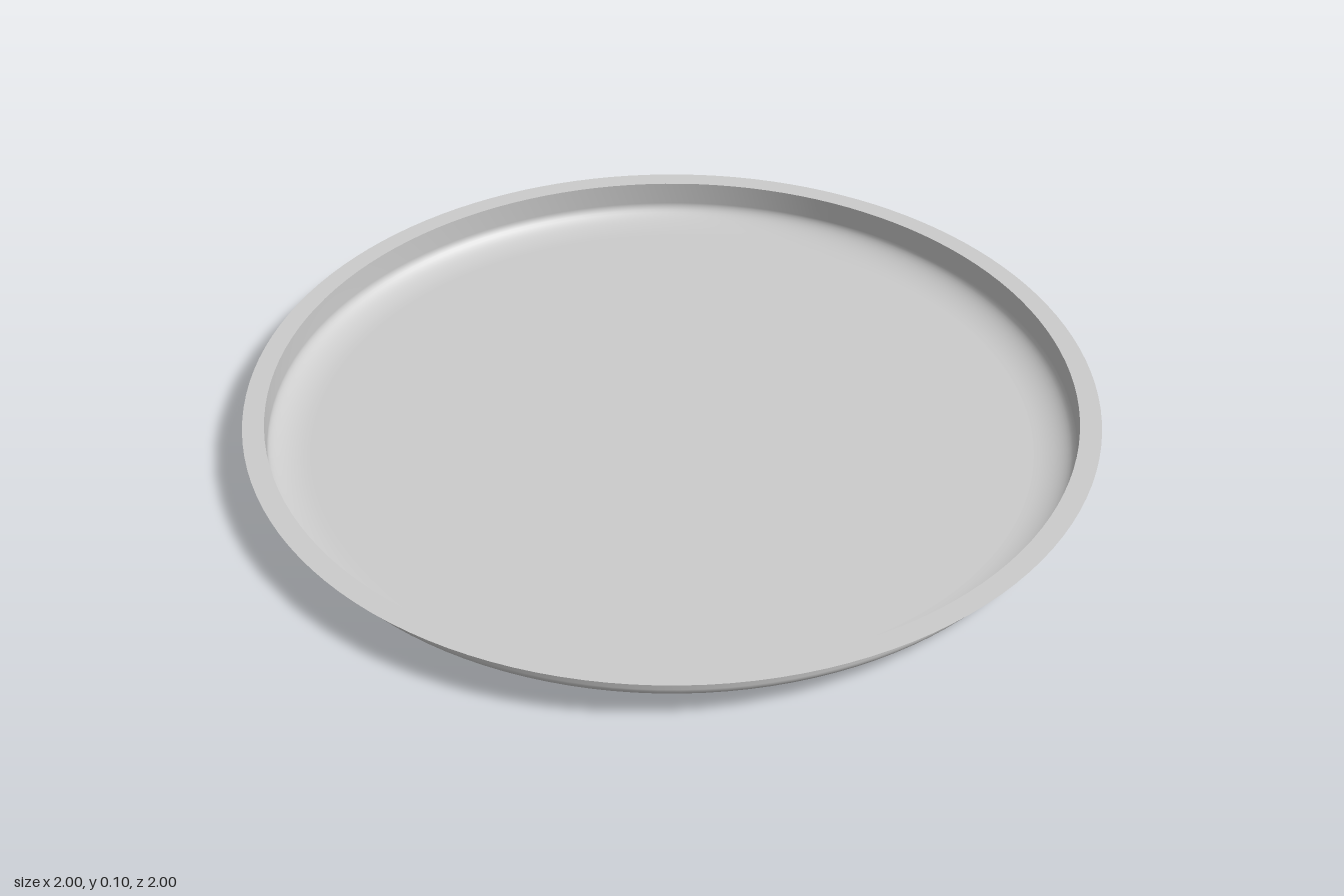
import * as THREE from 'three';

const SEGMENTS = 128;
const FLOOR_R = 0.855, WALL_R = 0.95, RIM_R = 1;
const CURVE_H = 0.045, HEIGHT = 0.105;

export function createModel() {
  const tray = new THREE.Group();
  tray.name = 'roundTray';
  // Thin sheet, visible from both sides
  const material = new THREE.MeshStandardMaterial({ color: 0xcccccc, side: THREE.DoubleSide });

  const add = (name, geometry) => {
    const mesh = new THREE.Mesh(geometry, material);
    mesh.name = name;
    tray.add(mesh);
    return mesh;
  };

  // Flat floor
  add('floor', new THREE.CircleGeometry(FLOOR_R, SEGMENTS).rotateX(-Math.PI / 2));

  // Quarter-ellipse corner rising into an upright wall
  const profile = [];
  const steps = 12;
  for (let i = 0; i <= steps; i++) {
    const a = (i / steps) * Math.PI / 2;
    profile.push(new THREE.Vector2(
      FLOOR_R + (WALL_R - FLOOR_R) * Math.sin(a),
      CURVE_H * (1 - Math.cos(a))
    ));
  }
  profile.push(new THREE.Vector2(WALL_R, HEIGHT));
  add('wall', new THREE.LatheGeometry(profile, SEGMENTS));

  // Flat lip turned outward at the top
  const rim = add('rim', new THREE.RingGeometry(WALL_R, RIM_R, SEGMENTS).rotateX(-Math.PI / 2));
  rim.position.y = HEIGHT;

  return tray;
}
